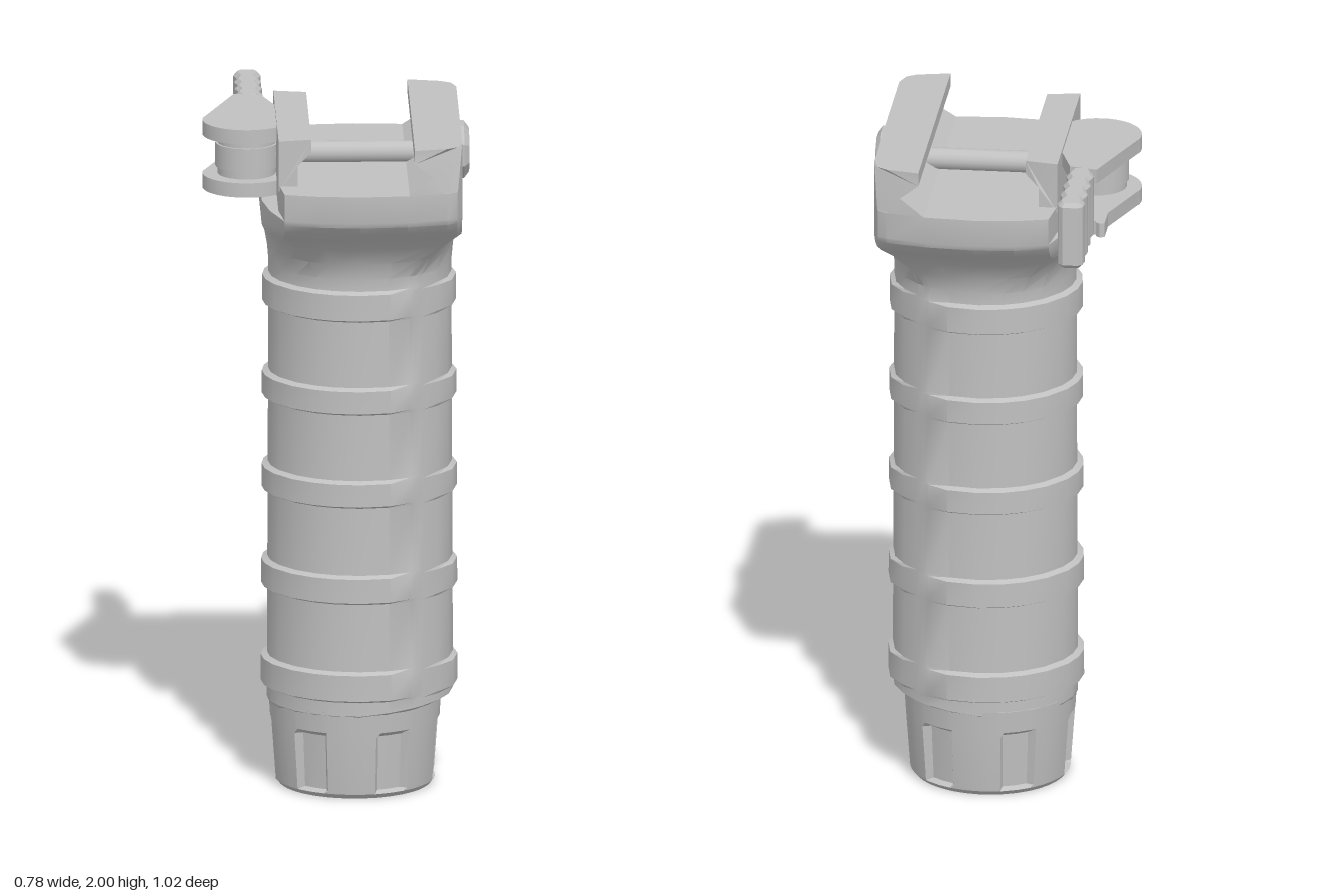
import * as THREE from 'three';
import { toCreasedNormals } from 'three/addons/utils/BufferGeometryUtils.js';

const CX = 0.07, CZ = 0.08;
// Half outline of the head in plan: [x, distance from the z centre]
const PLAN = [[0.36, 0], [0.36, 0.1], [0.36, 0.2], [0.36, 0.33], [0.345, 0.375], [0.315, 0.395],
  [0.2, 0.42], [0.06, 0.43], [-0.06, 0.42], [-0.16, 0.395], [-0.2, 0.27], [-0.22, 0.15], [-0.22, 0.07], [-0.22, 0]];
const OUTLINE = [...PLAN, ...PLAN.slice(1, -1).reverse().map(([x, d]) => [x, -d])];

// Half depth of the head at a given x
function planDepth(x) {
  for (let i = 3; i < PLAN.length - 1; i++) {
    const [x0, d0] = PLAN[i], [x1, d1] = PLAN[i + 1];
    if (x <= x0 && x >= x1 && x0 > x1) return d0 + (d1 - d0) * (x0 - x) / (x0 - x1);
  }
  return 0.33;
}

// Closed skin through rings of [x, y, z] points that run from bottom to top
function loft(rings, crease = 0.45) {
  const n = rings[0].length, pos = rings.flat(2), idx = [];
  for (let j = 0; j < rings.length - 1; j++) {
    for (let i = 0; i < n; i++) {
      const k = (i + 1) % n, a = j * n + i, b = j * n + k;
      idx.push(a, a + n, b, b, a + n, b + n);
    }
  }
  for (const [j, up] of [[0, false], [rings.length - 1, true]]) {
    const c = pos.length / 3;
    pos.push(CX, rings[j].reduce((s, p) => s + p[1], 0) / n, CZ);
    for (let i = 0; i < n; i++) {
      const a = j * n + i, b = j * n + (i + 1) % n;
      idx.push(c, up ? b : a, up ? a : b);
    }
  }
  const g = new THREE.BufferGeometry();
  g.setAttribute('position', new THREE.Float32BufferAttribute(pos, 3));
  g.setIndex(idx);
  return toCreasedNormals(g, crease);
}

// Barrel ring that blends into the head outline; swell raises the grip bands
function gripRing(y, { swell = 0, blend = 0, scale = 1, shift = 0, clip = -1, lift = 0 } = {}) {
  const s = scale * (1.01 - 0.02 * Math.min(y / 1.5, 1)), tx = Math.min(1, blend * 2.5);
  return OUTLINE.map(([hx, hd]) => {
    const a = Math.atan2(hd, hx - CX), c = Math.cos(a);
    const side = c < 0 ? 1 : 1 - THREE.MathUtils.smoothstep(c, 0.2, 0.65);
    const bump = swell * (side + 0.75 * THREE.MathUtils.smoothstep(c, 0.75, 0.95));
    const gx = CX + shift + (0.27 * s + bump) * c;
    const gz = (0.253 * s + bump) * Math.sin(a);
    return [Math.max(clip, gx + (hx - gx) * tx), y + lift * Math.max(0, c), CZ + gz + (hd - gz) * blend];
  });
}

function gripGeometry() {
  const rings = [gripRing(0.24, { scale: 0.92, shift: -0.015, lift: 0.02 }), gripRing(0.255, { lift: 0.025 })];
  for (const [y0, y1] of [[0.3, 0.385], [0.595, 0.675], [0.885, 0.96], [1.165, 1.24], [1.445, 1.53]]) {
    rings.push(gripRing(y0 - 0.004), gripRing(y0 + 0.004, { swell: 0.018 }),
      gripRing(y1 - 0.004, { swell: 0.018 }), gripRing(y1 + 0.004));
  }
  // flare up to the head
  for (const [y, blend] of [[1.57, 0], [1.62, 0.08], [1.67, 0.25], [1.71, 0.5], [1.74, 0.8], [1.77, 0.97], [1.785, 1]])
    rings.push(gripRing(y, { blend }));
  rings.push(gripRing(1.785, { blend: 1, clip: -0.175 }), gripRing(1.865, { blend: 1, clip: -0.175 }));
  return loft(rings);
}

// End cap with six recessed finger notches
function capGeometry() {
  const steps = [-13, -10, 0, 10, 13, 21, 30, 39];
  const ring = (y, r, depth) => {
    const pts = [];
    for (let k = 0; k < 6; k++) {
      for (const d of steps) {
        const a = THREE.MathUtils.degToRad(4 + 60 * k + d);
        const rr = r - (Math.abs(d) <= 10 ? depth : 0);
        pts.push([0.055 + rr * Math.cos(a), y, 0.078 + rr * Math.sin(a)]);
      }
    }
    return pts;
  };
  return loft([ring(0, 0.222, 0), ring(0.014, 0.234, 0), ring(0.022, 0.235, 0.02),
    ring(0.185, 0.247, 0.024), ring(0.2, 0.248, 0), ring(0.265, 0.252, 0)]);
}

const polygon = (pts) => new THREE.Shape(pts.map(([x, y]) => new THREE.Vector2(x, y)));

// Plan shape (drawn in x, -z) raised from y0 to y1
function slab(shape, y0, y1, bevel = 0) {
  const g = new THREE.ExtrudeGeometry(shape, {
    depth: y1 - y0 - 2 * bevel, curveSegments: 10, bevelEnabled: bevel > 0,
    bevelSize: bevel, bevelOffset: -bevel, bevelThickness: bevel, bevelSegments: 1,
  });
  g.rotateX(-Math.PI / 2).translate(0, y0 + bevel, 0);
  return toCreasedNormals(g, 0.5);
}

// Fixed dovetail jaw, its ends following the head outline
function jawGeometry() {
  const g = new THREE.ExtrudeGeometry(polygon([[0.2, 1.85], [0.315, 1.85], [0.345, 1.85], [0.36, 1.85], [0.36, 2],
    [0.345, 2], [0.315, 2], [0.22, 2], [0.22, 1.96], [0.275, 1.915], [0.205, 1.865]]), { depth: 1, bevelEnabled: false });
  const p = g.attributes.position;
  for (let i = 0; i < p.count; i++) p.setZ(i, CZ + (p.getZ(i) < 0.5 ? -1 : 1) * planDepth(p.getX(i)));
  return toCreasedNormals(g, 0.4);
}

// Sliding clamp bar with chamfered ends
function clampGeometry() {
  const g = new THREE.ExtrudeGeometry(polygon([[-0.175, 1.85], [-0.12, 1.85], [-0.12, 1.925], [-0.08, 1.96],
    [-0.08, 2], [-0.175, 2]]), { depth: 0.59, bevelEnabled: false });
  const p = g.attributes.position;
  for (let i = 0; i < p.count; i++) if (p.getX(i) > -0.09) p.setZ(i, p.getZ(i) < 0.3 ? 0.018 : 0.572);
  g.translate(0, 0, -0.215);
  return toCreasedNormals(g, 0.3);
}

function teardrop() {
  const s = new THREE.Shape();
  s.moveTo(-0.29, 0.22);
  s.lineTo(-0.382, -0.04);
  s.absarc(-0.26, -0.075, 0.129, Math.PI - 0.28, Math.PI * 2 + 0.3, false);
  s.lineTo(-0.175, 0.09);
  s.lineTo(-0.21, 0.2);
  s.closePath();
  return s;
}

// Lever handle with scalloped sides
function handleShape() {
  const right = [];
  for (let i = 0; i <= 18; i++) {
    const d = 0.2 + i * 0.016;
    right.push([0.035 + 0.005 * Math.cos((d - 0.25) * 2 * Math.PI / 0.075), d]);
  }
  right.push([0.035, 0.5], [0.022, 0.512]);
  return polygon([...right.map(([w, d]) => [-0.245 + w, d]), ...right.reverse().map(([w, d]) => [-0.245 - w, d])]);
}

export function createModel() {
  const model = new THREE.Group();
  const grey = new THREE.MeshStandardMaterial({ color: 0xc0c0c0 });
  grey.name = 'grey';
  const add = (name, geometry, parent = model) => {
    const m = new THREE.Mesh(geometry, grey);
    m.name = name;
    parent.add(m);
    return m;
  };

  add('gripBody', gripGeometry());
  add('endCap', capGeometry());
  add('fixedJaw', jawGeometry());
  add('clampBar', clampGeometry());

  // Cross bolt and its eight-sided nut
  const bolt = add('crossBolt', new THREE.CylinderGeometry(0.032, 0.032, 0.64, 16));
  bolt.rotation.z = Math.PI / 2;
  bolt.position.set(0.055, 1.892, CZ);
  const profile = [[0.085, -0.01], [0.085, 0.015], [0.065, 0.03], [0.045, 0.03], [0.043, 0.012], [0, 0.012]];
  const nut = add('nut', toCreasedNormals(new THREE.LatheGeometry(
    profile.map(([r, y]) => new THREE.Vector2(r, y)), 8, Math.PI / 8), 0.3));
  nut.rotation.z = -Math.PI / 2;
  nut.position.set(0.358, 1.897, CZ);

  // Quick-release lever: two teardrop plates, pivot barrel and handle
  const lever = new THREE.Group();
  lever.name = 'lever';
  model.add(lever);
  add('upperPlate', slab(teardrop(), 1.947, 1.99), lever);
  add('lowerPlate', slab(teardrop(), 1.787, 1.83), lever);
  add('handle', slab(handleShape(), 1.787, 1.99, 0.012), lever);
  add('plateNub', slab(polygon([[-0.315, 0.15], [-0.28, 0.15], [-0.29, 0.23], [-0.3, 0.24], [-0.315, 0.235]]), 1.787, 1.83), lever);
  for (const [name, r, h] of [['pivotBarrel', 0.085, 0.13], ['pivotCollar', 0.092, 0.07]])
    add(name, new THREE.CylinderGeometry(r, r, h, 20), lever).position.set(-0.26, 1.888, 0.075);
  return model;
}
